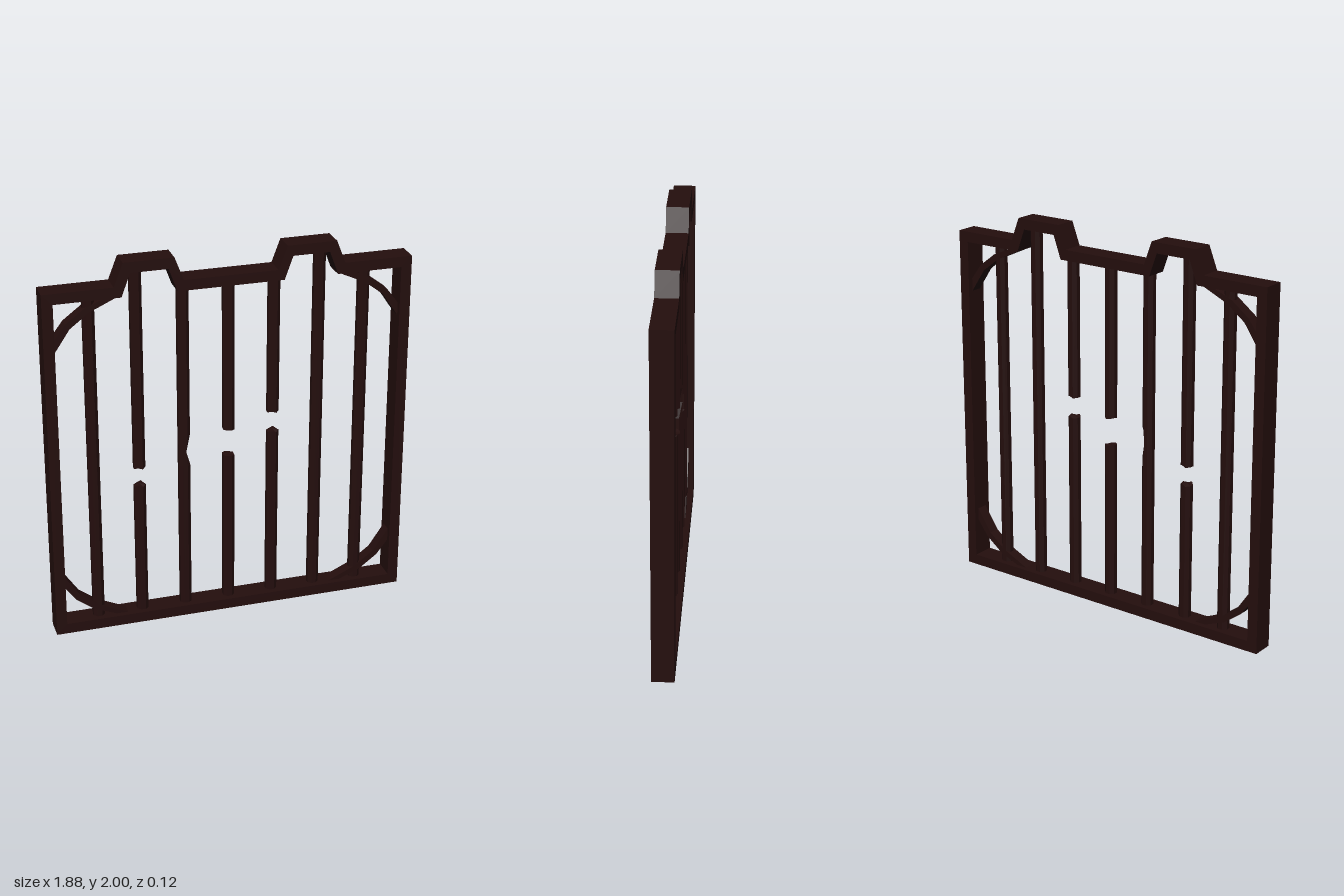
import * as THREE from 'three';

const DEPTH = 0.115;

export function createModel() {
  const gate = new THREE.Group();
  gate.name = 'barredGate';
  const iron = new THREE.MeshStandardMaterial({ color: 0x240e0d });
  iron.name = 'dark iron';
  iron.flatShading = true;

  const add = (geometry, name, x = 0, y = 0) => {
    const mesh = new THREE.Mesh(geometry, iron);
    mesh.name = name;
    mesh.position.set(x, y, 0);
    gate.add(mesh);
    return mesh;
  };

  const extrude = (shape, depth) =>
    new THREE.ExtrudeGeometry(shape, { depth, bevelEnabled: false }).translate(0, 0, -depth / 2);

  // Symmetric outline from the points of its right half, bottom to top
  const outline = (half) => [
    ...half,
    ...half.map(([x, y]) => [-x, y]).reverse(),
  ].map(([x, y]) => new THREE.Vector2(x, y));

  // Frame with two raised steps along the top rail
  const frame = new THREE.Shape(outline([
    [0.94, 0], [0.94, 1.88], [0.587, 1.88], [0.54, 2], [0.285, 2], [0.24, 1.88],
  ]));
  frame.holes.push(new THREE.Path(outline([
    [0.885, 0.056], [0.885, 1.825], [0.55, 1.825], [0.505, 1.945], [0.315, 1.945], [0.272, 1.825],
  ])));
  add(extrude(frame, DEPTH), 'frame');

  // Faceted curved braces in the four corners
  const brace = [
    [0.9, 1.535], [0.803, 1.68], [0.705, 1.755], [0.545, 1.828],
    [0.605, 1.828], [0.73, 1.777], [0.825, 1.705], [0.9, 1.605],
  ];
  for (const side of [1, -1]) {
    for (const top of [true, false]) {
      const points = brace.map(([x, y]) => new THREE.Vector2(x * side, top ? y : 1.88 - y));
      add(extrude(new THREE.Shape(points), 0.06), top ? 'upperBrace' : 'lowerBrace');
    }
  }

  // Octagonal bar piece; a broken end gets an uneven rim
  const bar = (x, y0, y1, brokenEnd = 0) => {
    const h = y1 - y0;
    const geometry = new THREE.CylinderGeometry(0.032, 0.032, h, 8, 1, false, Math.PI / 8);
    const p = geometry.attributes.position;
    for (let i = 0; i < p.count; i++) {
      if (p.getY(i) * brokenEnd > 0) {
        const wave = 0.006 * Math.sin(p.getX(i) * 130 + p.getZ(i) * 60 + x * 9);
        p.setY(i, p.getY(i) + wave);
      }
    }
    geometry.computeVertexNormals();
    add(geometry, brokenEnd ? 'brokenBar' : 'bar', x, (y0 + y1) / 2);
  };

  // Bar bitten into on one side
  const notchedBar = (x, y0, y1) => {
    const rings = [y1, 1.03, 0.945, 0.86, y0];
    const geometry = new THREE.CylinderGeometry(0.032, 0.032, 4, 8, 4, false, Math.PI / 8);
    const p = geometry.attributes.position;
    for (let i = 0; i < p.count; i++) {
      const ring = Math.round(2 - p.getY(i));
      p.setY(i, rings[ring]);
      if (ring === 2) p.setX(i, Math.min(p.getX(i), 0.006));
    }
    geometry.computeVertexNormals();
    add(geometry, 'notchedBar', x, 0);
  };

  const gaps = { '-2': [0.78, 0.88], 0: [0.885, 1.03], 1: [0.99, 1.1] };
  for (let i = -3; i <= 3; i++) {
    const x = i * 0.235;
    const bottom = 0.04;
    const top = Math.abs(i) === 2 ? 1.96 : 1.84;
    if (i === -1) {
      notchedBar(x, bottom, top);
    } else if (gaps[i]) {
      bar(x, bottom, gaps[i][0], 1);
      bar(x, gaps[i][1], top, -1);
    } else {
      bar(x, bottom, top);
    }
  }
  return gate;
}
